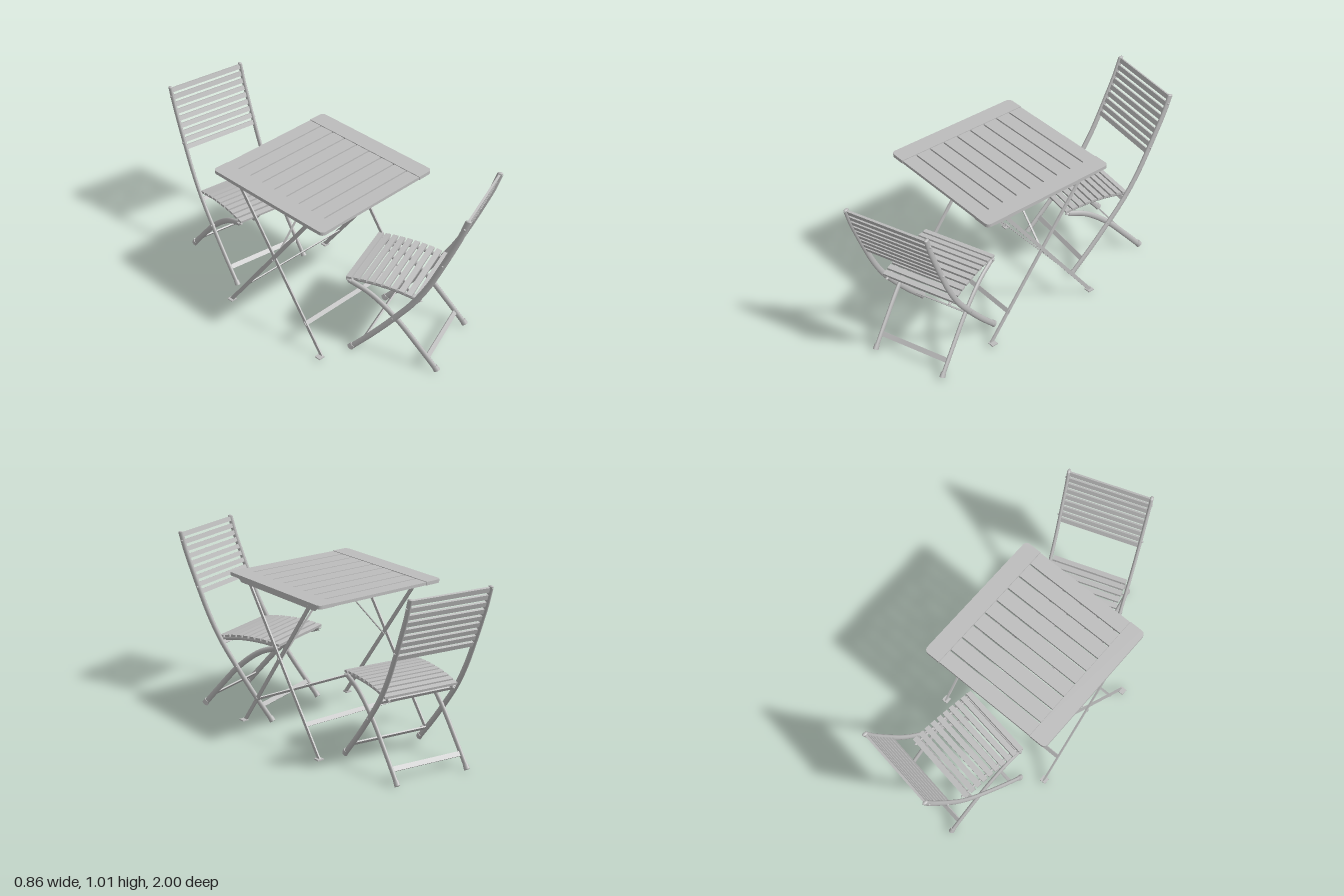
import * as THREE from 'three';

const grey = new THREE.MeshStandardMaterial({ color: 0xbcbcbc });
grey.name = 'grey';

function add(parent, name, geometry, x = 0, y = 0, z = 0) {
  const m = new THREE.Mesh(geometry, grey);
  m.name = name;
  m.position.set(x, y, z);
  parent.add(m);
  return m;
}
const box = (w, h, d) => new THREE.BoxGeometry(w, h, d);

// Flat bar running from point a to point b
function bar(parent, name, a, b, w, h) {
  const p = new THREE.Vector3(...a), q = new THREE.Vector3(...b);
  const m = add(parent, name, box(w, h, p.distanceTo(q)));
  m.position.copy(p).lerp(q, 0.5);
  m.lookAt(q);
}

// Smooth curve in the side plane from [z, y] pairs
const sideCurve = (pts) => new THREE.CatmullRomCurve3(pts.map(([z, y]) => new THREE.Vector3(0, y, z)));

// Oval tube following a side curve
function ovalTube(parent, name, curve, x, radius, flat) {
  const g = new THREE.TubeGeometry(curve, 32, radius, 12);
  g.scale(flat, 1, 1);
  add(parent, name, g, x);
  // end cap at the top
  const p = curve.getPointAt(0), cap = new THREE.SphereGeometry(radius, 12, 6);
  cap.scale(flat, 0.4, 1);
  add(parent, name + 'Cap', cap, x, p.y, p.z);
}

// Rows of cross slats spread along a side curve
function slatRow(parent, name, curve, count, u0, u1, w, h, t) {
  for (let i = 0; i < count; i++) {
    const u = u0 + (u1 - u0) * i / (count - 1);
    const p = curve.getPointAt(u), d = curve.getTangentAt(u);
    add(parent, name, box(w, h, t), 0, p.y, p.z).rotation.x = Math.atan2(-d.z, -d.y);
  }
}

function makeChair() {
  const chair = new THREE.Group();
  chair.name = 'chair';
  const rail = sideCurve([[0, 0.995], [0.03, 0.9], [0.07, 0.8], [0.125, 0.67], [0.18, 0.55],
    [0.255, 0.42], [0.345, 0.3], [0.468, 0.15], [0.592, 0.012]]);
  const leg = sideCurve([[0.62, 0.432], [0.5, 0.383], [0.36, 0.275], [0.225, 0.13], [0.122, 0.012]]);
  const seat = sideCurve([[0.235, 0.43], [0.34, 0.45], [0.45, 0.458], [0.55, 0.456], [0.632, 0.447]]);
  const seatRail = sideCurve([[0.235, 0.412], [0.34, 0.433], [0.45, 0.441], [0.55, 0.439], [0.625, 0.43]]);

  for (const s of [-1, 1]) {
    ovalTube(chair, 'backRail', rail, s * 0.228, 0.016, 0.6);
    ovalTube(chair, 'curvedLeg', leg, s * 0.207, 0.016, 0.6);
    ovalTube(chair, 'seatRail', seatRail, s * 0.19, 0.012, 0.6);
    // Feet
    for (const [x, z, tilt] of [[0.228, 0.59, -0.65], [0.207, 0.124, 0.6]]) {
      const foot = add(chair, 'foot', new THREE.CylinderGeometry(0.017, 0.019, 0.028, 12), s * x, 0.017, z);
      foot.rotation.x = tilt;
      foot.scale.x = 0.75;
    }
    // Pivot bolts
    for (const [x, y, z] of [[0.22, 0.28, 0.364], [0.202, 0.434, 0.612]]) {
      add(chair, 'pivotBolt', new THREE.CylinderGeometry(0.006, 0.006, 0.04, 10), s * x, y, z).rotation.z = Math.PI / 2;
    }
    for (const [y, z] of [[0.95, 0.014], [0.7, 0.112]]) {
      add(chair, 'backBolt', new THREE.SphereGeometry(0.006, 8, 6), s * 0.238, y, z);
    }
  }
  // Slats of backrest and seat
  slatRow(chair, 'backSlat', rail, 9, 0.013, 0.297, 0.446, 0.026, 0.012);
  slatRow(chair, 'seatSlat', seat, 10, 0.035, 0.968, 0.426, 0.03, 0.013);
  // Cross bars
  add(chair, 'frontStretcher', box(0.45, 0.026, 0.008), 0, 0.085, 0.526).rotation.x = -0.7;
  add(chair, 'rearStretcher', box(0.41, 0.026, 0.008), 0, 0.072, 0.175).rotation.x = 0.7;
  add(chair, 'rearSeatBar', box(0.44, 0.022, 0.012), 0, 0.402, 0.264).rotation.x = -0.6;
  add(chair, 'frontSeatBar', box(0.41, 0.016, 0.012), 0, 0.432, 0.605);
  return chair;
}

// End board with rounded outer corners, outer edge toward +x
function endBoardGeometry(w, len, t, r) {
  const s = new THREE.Shape(), h = len / 2;
  s.moveTo(0, -h);
  s.lineTo(w - r, -h);
  s.absarc(w - r, -h + r, r, -Math.PI / 2, 0, false);
  s.lineTo(w, h - r);
  s.absarc(w - r, h - r, r, 0, Math.PI / 2, false);
  s.lineTo(0, h);
  const g = new THREE.ExtrudeGeometry(s, { depth: t, bevelEnabled: false, curveSegments: 6 });
  g.rotateX(-Math.PI / 2);
  return g;
}

function makeTable() {
  const table = new THREE.Group();
  table.name = 'table';
  // Nine slats between two end boards
  for (let i = 0; i < 9; i++) {
    add(table, 'topSlat', box(0.6, 0.016, 0.081), 0, 0.844, (i - 4) * 0.0893);
  }
  for (const s of [-1, 1]) {
    const board = add(table, 'endBoard', endBoardGeometry(0.098, 0.8, 0.019, 0.025), s * 0.302, 0.835, 0);
    if (s < 0) {
      board.rotation.y = Math.PI;
    }
    // Apron with slanted ends
    const a = new THREE.Shape([[-0.36, 0.836], [-0.325, 0.806], [0.325, 0.806], [0.36, 0.836]]
      .map(([x, y]) => new THREE.Vector2(x, y)));
    const g = new THREE.ExtrudeGeometry(a, { depth: 0.006, bevelEnabled: false });
    g.rotateY(Math.PI / 2);
    add(table, 'apron', g, s * 0.37 - 0.003);
    // Crossed legs, side by side
    bar(table, 'tableLeg', [s * 0.362, 0.825, 0.265], [s * 0.362, 0.01, -0.345], 0.008, 0.02);
    bar(table, 'tableLeg', [s * 0.35, 0.825, -0.265], [s * 0.35, 0.01, 0.345], 0.008, 0.02);
    for (const z of [-1, 1]) {
      add(table, 'tableFoot', box(0.036, 0.006, 0.036), s * 0.362, 0.012, z * 0.342);
      add(table, 'legBolt', new THREE.CylinderGeometry(0.006, 0.006, 0.026, 10), s * 0.361, 0.82, z * 0.26)
        .rotation.z = Math.PI / 2;
    }
    add(table, 'legPivot', new THREE.CylinderGeometry(0.006, 0.006, 0.03, 10), s * 0.356, 0.46, 0)
      .rotation.z = Math.PI / 2;
    // Diagonal brace under the top
    bar(table, 'brace', [s * 0.345, 0.46, 0], [s * 0.015, 0.832, 0], 0.01, 0.005);
    // Stretchers between the leg pairs
    const st = add(table, 'legStretcher', box(0.72, 0.024, 0.006), 0, 0.165, s * 0.229);
    st.rotation.x = s * -0.64;
  }
  add(table, 'centreBatten', box(0.03, 0.006, 0.72), 0, 0.834, 0);
  return table;
}

export function createModel() {
  const model = new THREE.Group();
  model.name = 'foldingTableAndChairs';

  const table = makeTable();
  table.position.set(-0.03, 0, 0.026);

  const backChair = makeChair();
  backChair.name = 'backChair';
  backChair.position.set(0.03, 0, -0.951);
  backChair.rotation.y = THREE.MathUtils.degToRad(-8.3);

  const frontChair = makeChair();
  frontChair.name = 'frontChair';
  frontChair.position.set(0.202, 0, 0.904);
  frontChair.rotation.y = THREE.MathUtils.degToRad(200);

  model.add(table, backChair, frontChair);
  return model;
}
